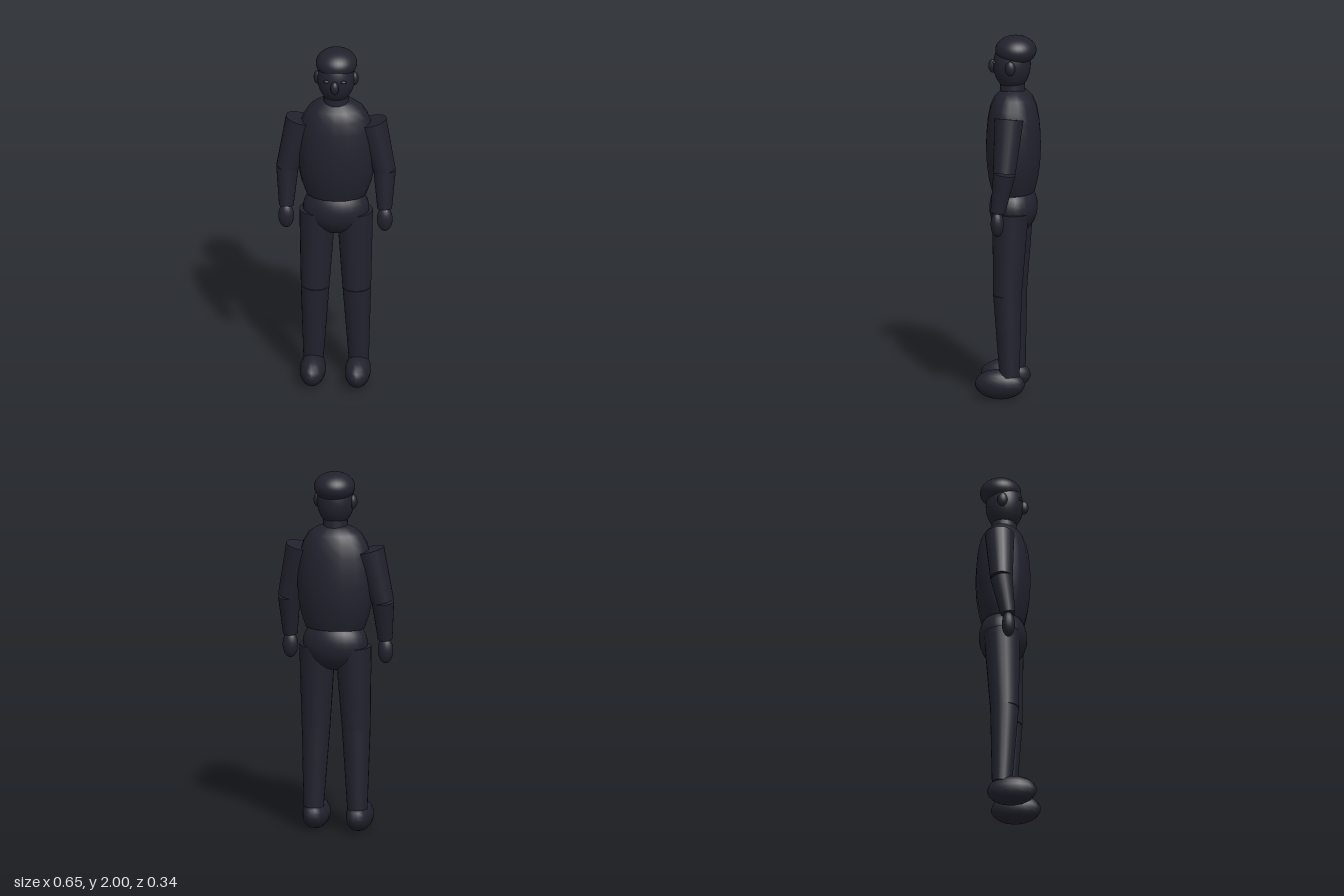
import * as THREE from 'three';

const darkNavy = new THREE.MeshStandardMaterial({ color: 0x22222e });
darkNavy.name = 'darkNavy';

function add(group, name, geometry) {
  const mesh = new THREE.Mesh(geometry, darkNavy);
  mesh.name = name;
  group.add(mesh);
  return mesh;
}

// Ellipsoid from a centre and three radii
function ellipsoid(group, name, centre, radii, segments = 24) {
  const mesh = add(group, name, new THREE.SphereGeometry(1, segments, Math.round(segments * 0.7)));
  mesh.position.set(...centre);
  mesh.scale.set(...radii);
  return mesh;
}

// Tapered limb section between two points
function limb(group, name, top, bottom, topRadius, bottomRadius) {
  const a = new THREE.Vector3(...top);
  const b = new THREE.Vector3(...bottom);
  const axis = a.clone().sub(b);
  const mesh = add(group, name, new THREE.CylinderGeometry(topRadius, bottomRadius, axis.length(), 20));
  mesh.position.copy(a).add(b).multiplyScalar(0.5);
  mesh.quaternion.setFromUnitVectors(new THREE.Vector3(0, 1, 0), axis.normalize());
  return mesh;
}

export function createModel() {
  const figure = new THREE.Group();
  figure.name = 'standingFigure';

  // Head and face
  ellipsoid(figure, 'head', [0, 1.84, -0.015], [0.102, 0.14, 0.102], 32);
  ellipsoid(figure, 'hair', [0, 1.92, -0.036], [0.112, 0.08, 0.112], 32);
  ellipsoid(figure, 'nose', [0, 1.828, 0.09], [0.023, 0.038, 0.025], 16);
  limb(figure, 'neck', [0, 1.76, -0.018], [0, 1.66, -0.018], 0.066, 0.07);

  // Torso: rounded profile, flattened front to back
  const profile = [
    [0, 1.135], [0.158, 1.135], [0.165, 1.138], [0.19, 1.21], [0.206, 1.29], [0.213, 1.38],
    [0.209, 1.46], [0.199, 1.54], [0.179, 1.61], [0.148, 1.66], [0.105, 1.692], [0.07, 1.705], [0, 1.71],
  ].map(([r, y]) => new THREE.Vector2(r, y));
  const torso = add(figure, 'torso', new THREE.LatheGeometry(profile, 16));
  torso.scale.z = 0.705;
  torso.position.z = -0.023;

  ellipsoid(figure, 'pelvis', [0, 1.05, -0.023], [0.18, 0.15, 0.131]);

  // Paired parts
  for (const [side, s] of [['left', 1], ['right', -1]]) {
    ellipsoid(figure, side + 'Ear', [s * 0.1, 1.838, -0.018], [0.022, 0.04, 0.028], 16);
    ellipsoid(figure, side + 'Eye', [s * 0.046, 1.858, 0.075], [0.017, 0.009, 0.012], 12);

    const arm = new THREE.Group();
    arm.name = side + 'Arm';
    const elbow = [s * 0.264, 1.29, -0.008];
    const wrist = [s * 0.267, 1.075, 0.027];
    limb(arm, 'upperArm', [s * 0.195, 1.578, -0.024], elbow, 0.08, 0.061);
    limb(arm, 'forearm', elbow, wrist, 0.061, 0.04);
    ellipsoid(arm, 'hand', [s * 0.268, 1.012, 0.03], [0.043, 0.073, 0.036], 16);
    figure.add(arm);

    const leg = new THREE.Group();
    leg.name = side + 'Leg';
    const knee = [s * 0.113, 0.58, -0.005];
    const ankle = [s * 0.123, 0.13, -0.018];
    limb(leg, 'thigh', [s * 0.101, 1.035, -0.02], knee, 0.099, 0.078);
    limb(leg, 'shin', knee, ankle, 0.078, 0.055);
    ellipsoid(leg, 'foot', [s * 0.122, 0.084, 0.036], [0.071, 0.083, 0.136], 16);
    figure.add(leg);
  }

  return figure;
}
